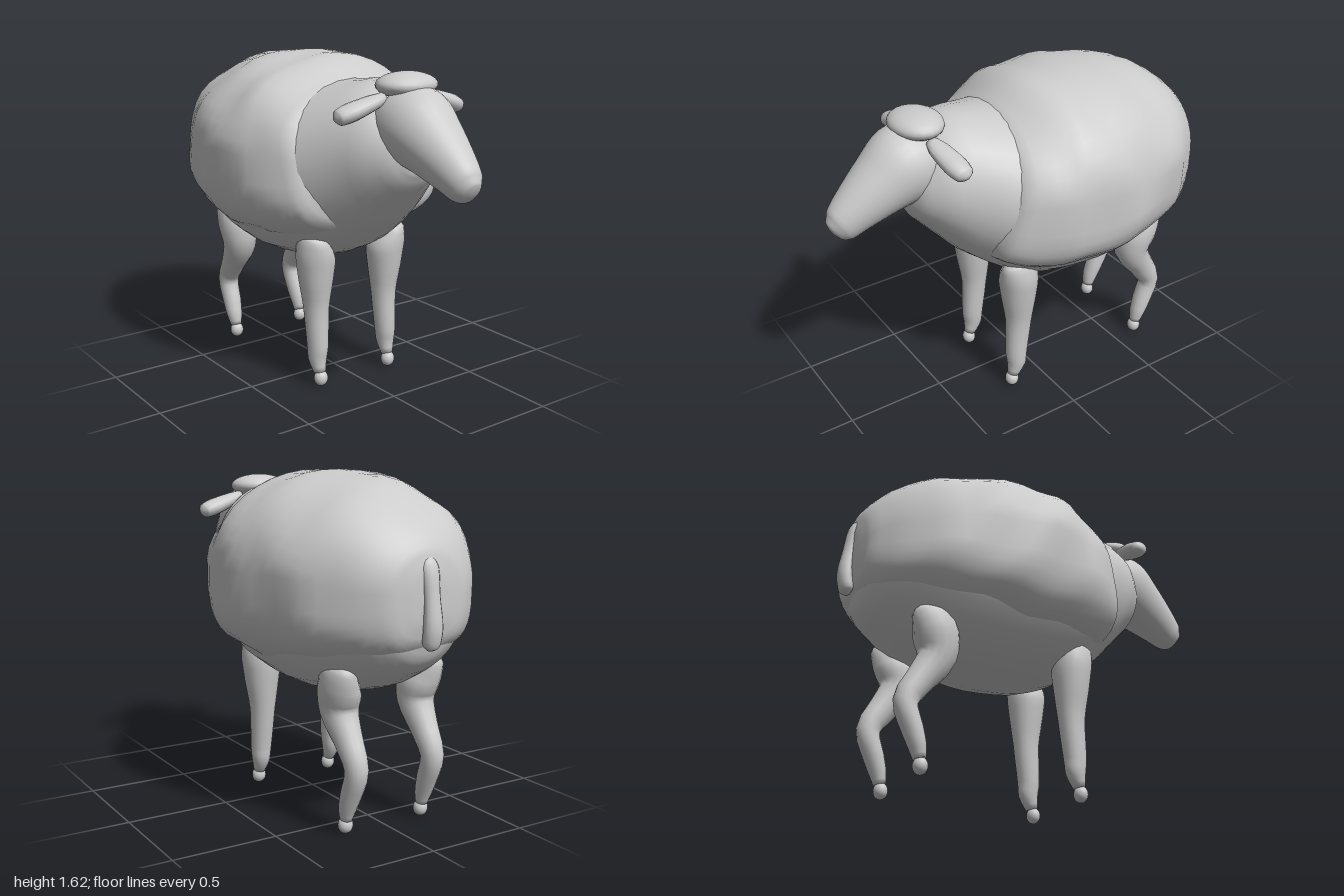
import * as THREE from 'three';

const material = new THREE.MeshStandardMaterial({ color: 0xcccccc });

// Closed smooth loft. Each section: [x, y, z, half width in x, half depth].
// Sections stand across the path, or upright along z when upright is set.
function loft(sections, { sides = 20, steps = 3, upright = false, lower = 1, warp } = {}) {
  const centres = new THREE.CatmullRomCurve3(sections.map(s => new THREE.Vector3(s[0], s[1], s[2])));
  const radii = new THREE.CatmullRomCurve3(sections.map(s => new THREE.Vector3(s[3], s[4], 0)));
  const rows = (sections.length - 1) * steps;
  const positions = [], index = [];
  const add = p => { if (warp) warp(p); positions.push(p.x, p.y, p.z); };
  for (let i = 0; i <= rows; i++) {
    const c = centres.getPoint(i / rows), r = radii.getPoint(i / rows);
    const t = upright ? new THREE.Vector3(0, 0, 1) : centres.getTangent(i / rows);
    const len = Math.hypot(t.y, t.z);
    const up = new THREE.Vector3(0, t.z / len, -t.y / len);
    for (let j = 0; j < sides; j++) {
      const a = j / sides * Math.PI * 2, ca = Math.cos(a), sa = Math.sin(a);
      const e = sa < 0 ? lower : 1;
      const p = c.clone().addScaledVector(up, Math.sign(sa) * Math.abs(sa) ** e * r.y);
      p.x += Math.sign(ca) * Math.abs(ca) ** e * r.x;
      add(p);
    }
  }
  add(centres.getPoint(0));
  add(centres.getPoint(1));
  const first = (rows + 1) * sides, last = first + 1;
  for (let j = 0; j < sides; j++) {
    const k = (j + 1) % sides;
    for (let i = 0; i < rows; i++) {
      const a = i * sides + j, b = i * sides + k;
      index.push(a, b, a + sides, b, b + sides, a + sides);
    }
    index.push(first, k, j, last, rows * sides + j, rows * sides + k);
  }
  const g = new THREE.BufferGeometry();
  g.setAttribute('position', new THREE.Float32BufferAttribute(positions, 3));
  g.setIndex(index);
  g.computeVertexNormals();
  return g;
}

// Sections given as [z, top, bottom, half width]
const barrel = list => list.map(([z, top, bottom, w]) => [0, (top + bottom) / 2, z, w, (top - bottom) / 2]);

export function createModel() {
  const model = new THREE.Group();
  const part = (name, geometry, parent = model) => {
    const mesh = new THREE.Mesh(geometry, material);
    mesh.name = name;
    parent.add(mesh);
    return mesh;
  };
  const ball = (name, x, y, z, rx, ry, rz, parent) => {
    const mesh = part(name, new THREE.SphereGeometry(1, 20, 14), parent);
    mesh.position.set(x, y, z);
    mesh.scale.set(rx, ry, rz);
    return mesh;
  };

  // Body with chest and neck
  part('body', loft(barrel([
    [-0.92, 1.1, 0.92, 0.06], [-0.89, 1.2, 0.82, 0.18], [-0.82, 1.32, 0.75, 0.29],
    [-0.65, 1.42, 0.66, 0.41], [-0.45, 1.5, 0.6, 0.48], [-0.23, 1.52, 0.58, 0.51],
    [0.03, 1.51, 0.61, 0.5], [0.2, 1.51, 0.68, 0.45], [0.4, 1.53, 0.83, 0.33],
    [0.52, 1.48, 0.96, 0.26], [0.61, 1.38, 1.06, 0.17], [0.65, 1.3, 1.13, 0.08],
  ]), { sides: 32, upright: true }));

  // Lumpy fleece over the back and sides, its front edge leaning backwards
  part('fleece', loft(barrel([
    [-0.945, 1.2, 1.0, 0.08], [-0.92, 1.31, 0.9, 0.2], [-0.82, 1.43, 0.83, 0.33],
    [-0.65, 1.53, 0.78, 0.46], [-0.45, 1.6, 0.75, 0.53], [-0.23, 1.615, 0.73, 0.575],
    [0, 1.61, 0.74, 0.555], [0.15, 1.57, 0.78, 0.5], [0.26, 1.5, 0.84, 0.435],
    [0.31, 1.4, 0.95, 0.33],
  ]), {
    sides: 40, upright: true, lower: 0.6,
    warp: p => {
      const lump = Math.sin(p.z * 13 + p.x * 5) * Math.cos(p.y * 12 - p.z * 5 + p.x * 4);
      p.x *= 1 + 0.02 * lump;
      p.y += 0.012 * lump;
      p.z -= 0.24 * (p.y - 1.15) * THREE.MathUtils.smoothstep(p.z, -0.3, 0.3);
    },
  }));

  // Head, woolly cap and nostrils
  part('head', loft([
    [0, 1.4, 0.47, 0.1, 0.08], [0, 1.375, 0.52, 0.165, 0.15], [0, 1.335, 0.62, 0.178, 0.185],
    [0, 1.265, 0.745, 0.148, 0.15], [0, 1.18, 0.875, 0.108, 0.112],
    [0, 1.125, 0.95, 0.08, 0.088], [0, 1.105, 0.985, 0.045, 0.055], [0, 1.1, 0.993, 0.015, 0.02],
  ], { sides: 28, steps: 4 }));
  ball('woolCap', 0, 1.515, 0.55, 0.152, 0.06, 0.122);

  // Tail
  part('tail', loft([
    [0, 1.27, -0.9, 0.025, 0.02], [0, 1.22, -0.925, 0.045, 0.035], [0, 1.1, -0.95, 0.038, 0.03],
    [0, 0.97, -0.962, 0.046, 0.036], [0, 0.9, -0.95, 0.042, 0.034], [0, 0.875, -0.94, 0.015, 0.012],
  ], { sides: 14 }));

  for (const [side, s] of [['left', 1], ['right', -1]]) {
    ball(side + 'Nostril', s * 0.038, 1.14, 0.975, 0.014, 0.018, 0.012);

    // Ear, built along z and turned to the side
    const ear = part(side + 'Ear', loft([
      [0, 0, 0, 0.03, 0.025], [0, 0, 0.06, 0.05, 0.034], [0, 0, 0.17, 0.058, 0.042],
      [0, 0, 0.235, 0.045, 0.036], [0, 0, 0.255, 0.015, 0.012],
    ], { sides: 16 }));
    ear.position.set(s * 0.12, 1.465, 0.54);
    ear.lookAt(s * 0.36, 1.385, 0.505);

    // Front leg
    const front = new THREE.Group();
    front.name = side + 'FrontLeg';
    model.add(front);
    part('leg', loft([
      [s * 0.245, 0.785, 0.165, 0.025, 0.04], [s * 0.238, 0.76, 0.16, 0.06, 0.085],
      [s * 0.215, 0.66, 0.148, 0.097, 0.1], [s * 0.212, 0.55, 0.146, 0.086, 0.088],
      [s * 0.21, 0.4, 0.145, 0.063, 0.067], [s * 0.212, 0.2, 0.16, 0.052, 0.056],
      [s * 0.214, 0.14, 0.16, 0.046, 0.05], [s * 0.213, 0.07, 0.18, 0.03, 0.03],
    ], { sides: 16 }), front);
    ball('hoof', s * 0.212, 0.04, 0.187, 0.036, 0.04, 0.034, front);

    // Hind leg with its bent hock
    const hind = new THREE.Group();
    hind.name = side + 'HindLeg';
    model.add(hind);
    part('leg', loft([
      [s * 0.245, 0.79, -0.63, 0.025, 0.04], [s * 0.24, 0.755, -0.625, 0.065, 0.09],
      [s * 0.22, 0.66, -0.585, 0.097, 0.11], [s * 0.213, 0.56, -0.575, 0.088, 0.092],
      [s * 0.21, 0.44, -0.645, 0.066, 0.07], [s * 0.21, 0.32, -0.712, 0.054, 0.057],
      [s * 0.212, 0.2, -0.675, 0.05, 0.05], [s * 0.214, 0.13, -0.65, 0.043, 0.042],
      [s * 0.213, 0.07, -0.635, 0.03, 0.03],
    ], { sides: 16 }), hind);
    ball('hoof', s * 0.212, 0.04, -0.63, 0.036, 0.04, 0.034, hind);
  }
  return model;
}
